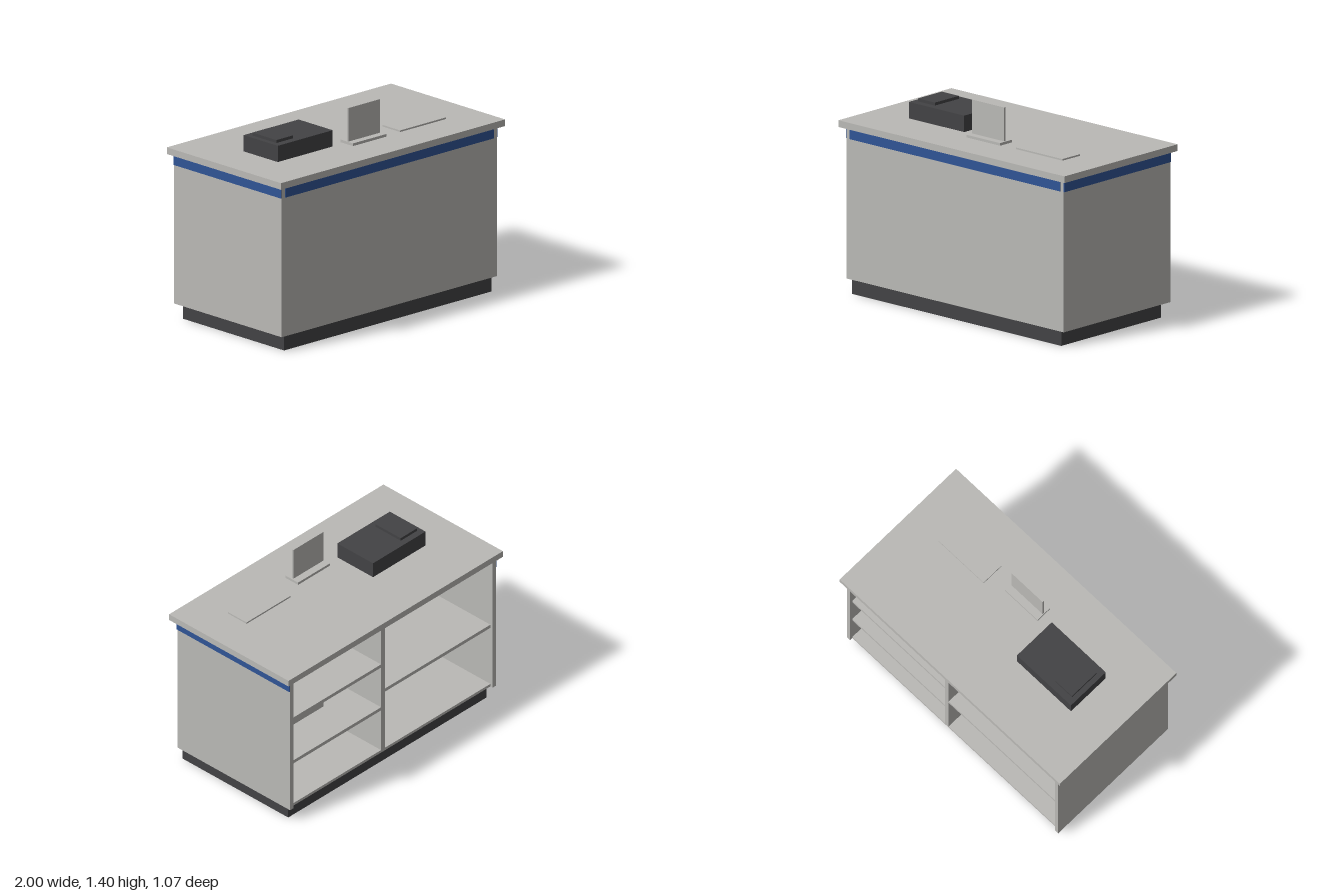
import * as THREE from 'three';

export function createModel() {
  const model = new THREE.Group();
  model.name = 'serviceCounter';

  const mat = (name, color) => {
    const m = new THREE.MeshStandardMaterial({ color });
    m.name = name;
    return m;
  };
  const grey = mat('lightGrey', 0xbab9b6);
  const dark = mat('darkGrey', 0x434345);
  const blue = mat('blue', 0x305496);

  // Box given by its lower and upper limits on each axis
  const box = (name, material, [x0, x1], [y0, y1], [z0, z1], parent = model) => {
    const mesh = new THREE.Mesh(new THREE.BoxGeometry(x1 - x0, y1 - y0, z1 - z0), material);
    mesh.position.set((x0 + x1) / 2, (y0 + y1) / 2, (z0 + z1) / 2);
    mesh.name = name;
    parent.add(mesh);
    return mesh;
  };

  // Plinth and worktop
  box('plinth', dark, [-0.925, 0.925], [0, 0.1], [-0.46, 0.485]);
  box('worktop', grey, [-1, 1], [1.115, 1.16], [-0.535, 0.535]);

  // Carcass, open at the back
  const body = [0.1, 1.115];
  box('frontPanel', grey, [-0.93, 0.93], body, [0.475, 0.5]);
  box('leftPanel', grey, [0.93, 0.96], body, [-0.51, 0.5]);
  box('rightPanel', grey, [-0.96, -0.93], body, [-0.51, 0.5]);
  box('floorBoard', grey, [-0.93, 0.93], [0.1, 0.12], [-0.49, 0.475]);
  box('divider', grey, [0.055, 0.09], [0.12, 1.115], [-0.49, 0.475]);

  // Shelves: two on the left, one on the right
  for (const y of [0.46, 0.8]) box('leftShelf', grey, [0.09, 0.93], [y - 0.025, y], [-0.49, 0.475]);
  box('rightShelf', grey, [-0.93, 0.055], [0.565, 0.59], [-0.49, 0.475]);

  // Blue band under the worktop
  const band = [1.04, 1.115];
  box('frontBand', blue, [-0.93, 0.93], band, [0.5, 0.504]);
  box('leftBand', blue, [0.96, 0.966], band, [-0.51, 0.5]);
  box('rightBand', blue, [-0.966, -0.96], band, [-0.51, 0.5]);

  // Things stored on the shelves
  box('lowerStorageBox', grey, [0.34, 0.63], [0.46, 0.635], [-0.215, -0.15]);
  box('upperStorageBox', grey, [0.25, 0.73], [0.8, 1.0], [-0.15, 0.05]);
  const drawers = new THREE.Group();
  drawers.name = 'drawerUnit';
  model.add(drawers);
  box('drawerCore', dark, [-0.66, -0.28], [0.59, 0.81], [-0.01, 0.29], drawers);
  for (let i = 0; i < 4; i++) {
    const y = 0.59 + i * 0.057;
    box('drawer', dark, [-0.67, -0.27], [y, y + 0.05], [-0.02, 0.3], drawers);
  }

  // Till with a raised pad
  box('till', dark, [-0.7, -0.21], [1.16, 1.27], [-0.13, 0.19]);
  box('tillPad', dark, [-0.665, -0.515], [1.27, 1.29], [-0.085, 0.14]);

  // Upright display on a foot
  box('displayFoot', grey, [-0.11, 0.187], [1.16, 1.178], [0.16, 0.275]);
  box('displayPanel', grey, [-0.105, 0.177], [1.178, 1.405], [0.212, 0.226]);

  // Flat mat
  box('counterMat', grey, [0.32, 0.73], [1.16, 1.171], [0.1, 0.265]);

  return model;
}
